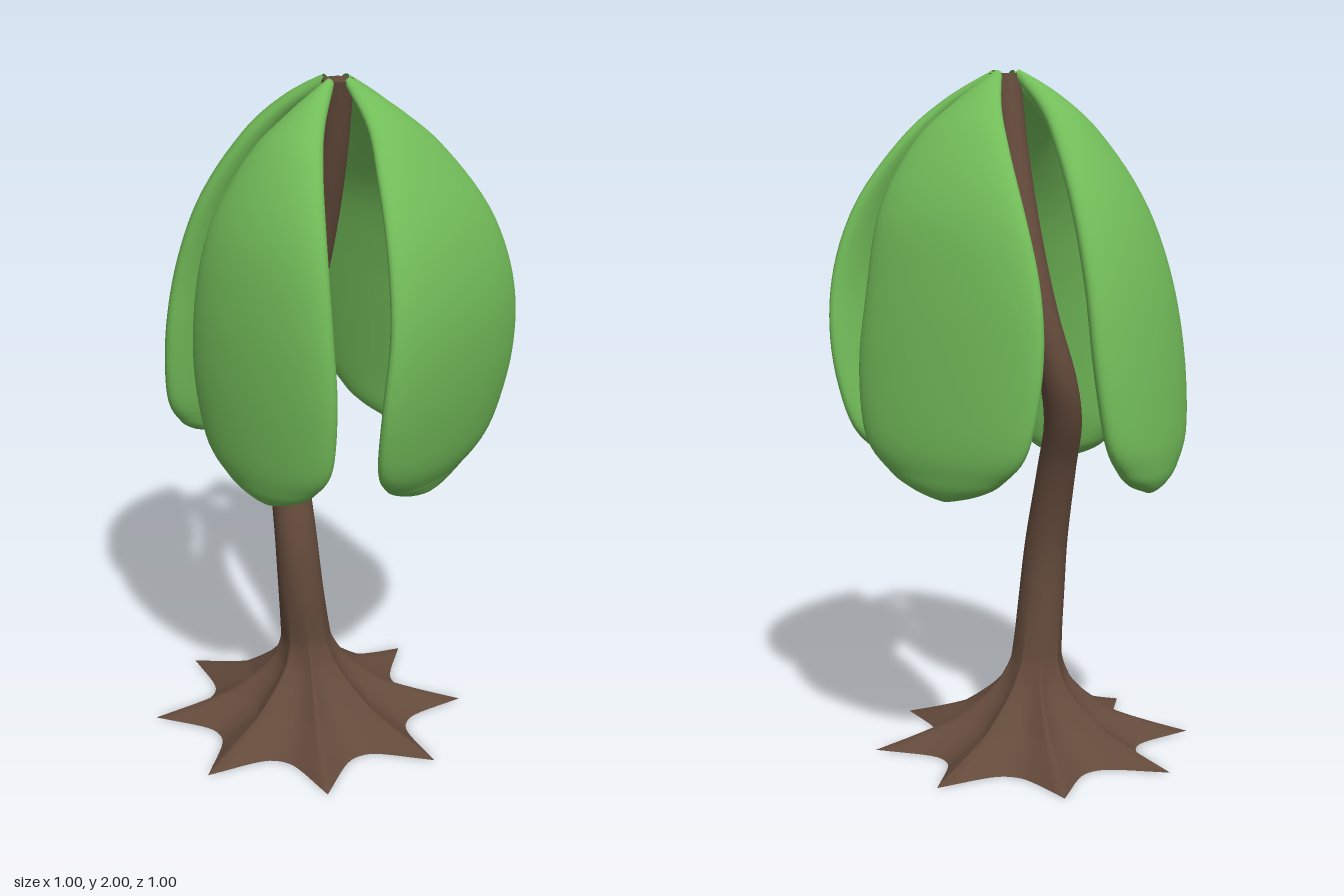
import * as THREE from 'three';

const bark = new THREE.MeshStandardMaterial({ color: 0x634a3b });
bark.name = 'bark brown';
const leafGreen = new THREE.MeshStandardMaterial({ color: 0x72bc59, side: THREE.DoubleSide });
leafGreen.name = 'leaf green';

// Smooth curve through rows of three numbers
const curve = rows => new THREE.CatmullRomCurve3(rows.map(r => new THREE.Vector3(...r)));

function makeGeometry(positions, index) {
  const g = new THREE.BufferGeometry();
  g.setAttribute('position', new THREE.Float32BufferAttribute(positions, 3));
  g.setIndex(index);
  g.computeVertexNormals();
  return g;
}

// Faces joining closed rings of points stacked one after another
function ringIndex(rows, sides) {
  const index = [];
  for (let i = 0; i < rows; i++) {
    for (let j = 0; j < sides; j++) {
      const a = i * sides + j, b = i * sides + (j + 1) % sides;
      index.push(a, a + sides, b, b, a + sides, b + sides);
    }
  }
  return index;
}

// Trunk: ring centres, and the radius of each ring at the root ridges and in the valleys
const trunkPath = curve([
  [-0.022, 0, 0.02], [-0.022, 0.04, 0.02], [-0.022, 0.08, 0.02], [-0.023, 0.155, 0.02],
  [-0.024, 0.2, 0.022], [-0.026, 0.27, 0.03], [-0.028, 0.45, 0.053], [-0.042, 0.62, 0.058],
  [-0.1, 0.85, 0.025], [-0.155, 1.0, -0.025], [-0.168, 1.13, -0.07], [-0.13, 1.32, -0.105],
  [-0.07, 1.52, -0.092], [0.0, 1.76, -0.055], [0.052, 1.992, -0.02],
]);
const trunkRadii = curve([
  [0.48, 0.315, 0], [0.36, 0.25, 0], [0.255, 0.185, 0], [0.15, 0.118, 0],
  [0.108, 0.091, 0], [0.077, 0.072, 0], [0.068, 0.068, 0], [0.063, 0.063, 0],
  [0.057, 0.057, 0], [0.055, 0.055, 0], [0.054, 0.054, 0], [0.052, 0.052, 0],
  [0.05, 0.05, 0], [0.047, 0.047, 0], [0.044, 0.044, 0],
]);
const trunkSides = 128;

function trunkRing(t) {
  const c = trunkPath.getPoint(t), r = trunkRadii.getPoint(t), ring = [];
  for (let j = 0; j < trunkSides; j++) {
    const turn = j / trunkSides, a = turn * Math.PI * 2;
    const fromRidge = 2 * Math.abs(turn * 8 - Math.round(turn * 8)); // 0 on a root, 1 between roots
    const rad = r.y + (r.x - r.y) * Math.pow(1 - fromRidge, 2.3);
    ring.push(c.x + Math.cos(a) * rad, c.y, c.z + Math.sin(a) * rad);
  }
  return ring;
}

function trunkGeometry(rows = 84) {
  const pos = [];
  for (let i = 0; i <= rows; i++) pos.push(...trunkRing(i / rows));
  return makeGeometry(pos, ringIndex(rows, trunkSides));
}

// Flat end of the trunk
function capGeometry(t, up) {
  const pos = [...trunkRing(t), ...trunkPath.getPoint(t).toArray()], index = [];
  for (let j = 0; j < trunkSides; j++) {
    const k = (j + 1) % trunkSides;
    index.push(trunkSides, up ? k : j, up ? j : k);
  }
  return makeGeometry(pos, index);
}

// Heights and relative widths shared by all leaves, from the top to the tip
const leafY = [1.992, 1.9, 1.8, 1.6, 1.4, 1.2, 1.0, 0.9, 0.86, 0.828];
const leafW = [0.04, 0.27, 0.51, 0.81, 0.95, 1, 0.9, 0.63, 0.4, 0.02];

// Leaf facing +z: a thick blade with an elliptic section, set square to its bowed spine
function leafGeometry({ spine, half, apex, centre, thick }, rows = 54, cols = 40) {
  const path = curve(spine.map((r, i) => [r, leafY[i], leafW[i]]));
  const pos = [];
  for (let i = 0; i <= rows; i++) {
    const p = path.getPoint(i / rows), t = path.getTangent(i / rows);
    const out = new THREE.Vector2(-t.y, t.x).normalize();
    const w = Math.max(p.z, 0.01), depth = thick * Math.sqrt(w);
    const mid = THREE.MathUtils.lerp(apex, centre, THREE.MathUtils.smoothstep(2 - p.y, 0, 0.7));
    for (let j = 0; j < cols; j++) {
      const a = (j / cols) * Math.PI * 2, d = depth * Math.cos(a);
      pos.push(mid + half * w * Math.sin(a), p.y + out.y * d, p.x + out.x * d);
    }
  }
  return makeGeometry(pos, ringIndex(rows, cols));
}

const leaves = [
  { name: 'frontLeaf', turn: 0, half: 0.252, apex: 0.058, centre: 0.056, thick: 0.066,
    spine: [0.02, 0.135, 0.22, 0.297, 0.318, 0.315, 0.3, 0.29, 0.285, 0.28] },
  { name: 'leftLeaf', turn: Math.PI / 2, half: 0.305, apex: 0.02, centre: 0.05, thick: 0.06,
    spine: [0.085, 0.215, 0.3, 0.4, 0.437, 0.427, 0.39, 0.355, 0.346, 0.34] },
  { name: 'backLeaf', turn: Math.PI, half: 0.31, apex: -0.05, centre: 0.05, thick: 0.054,
    spine: [0.055, 0.165, 0.26, 0.365, 0.407, 0.432, 0.451, 0.45, 0.447, 0.44] },
  { name: 'rightLeaf', turn: -Math.PI / 2, half: 0.222, apex: -0.012, centre: -0.028, thick: 0.063,
    spine: [-0.015, 0.11, 0.2, 0.315, 0.38, 0.414, 0.437, 0.445, 0.445, 0.443] },
];

export function createModel() {
  const model = new THREE.Group();
  model.name = 'tree';
  const add = (name, geometry, material) => {
    const mesh = new THREE.Mesh(geometry, material);
    mesh.name = name;
    model.add(mesh);
    return mesh;
  };
  add('trunk', trunkGeometry(), bark);
  add('rootBase', capGeometry(0, false), bark);
  add('trunkTop', capGeometry(1, true), bark);
  for (const leaf of leaves) add(leaf.name, leafGeometry(leaf), leafGreen).rotation.y = leaf.turn;
  return model;
}
